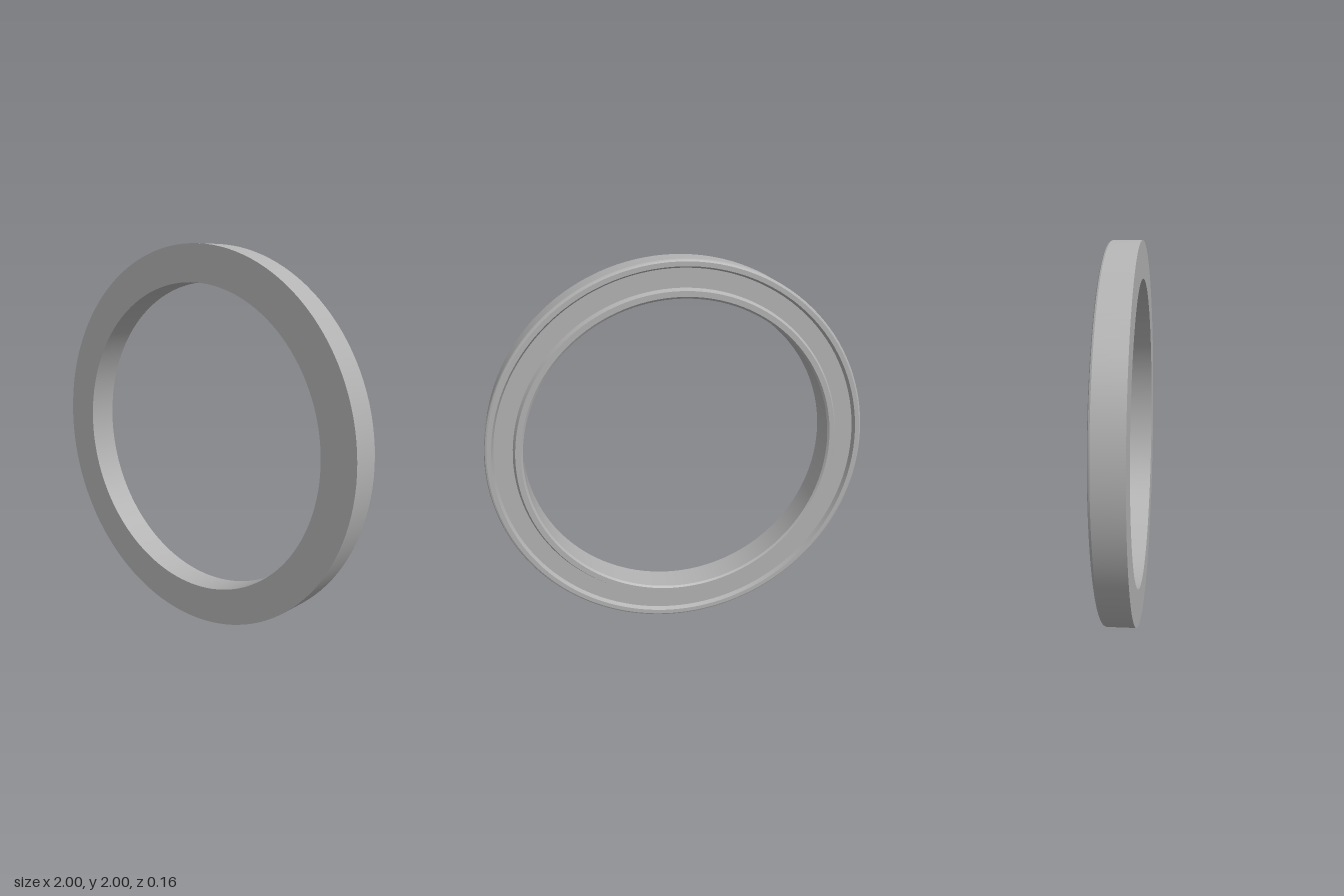
import * as THREE from 'three';
import { mergeGeometries } from 'three/addons/utils/BufferGeometryUtils.js';

// Revolves a closed profile of [radius, z], one band per edge so edges stay sharp
function revolve(profile, segments = 128) {
  const bands = profile.map((p, i) => {
    const q = profile[(i + 1) % profile.length];
    return new THREE.LatheGeometry([new THREE.Vector2(...p), new THREE.Vector2(...q)], segments);
  });
  return mergeGeometries(bands).rotateX(Math.PI / 2);
}

export function createModel() {
  const model = new THREE.Group();
  model.name = 'ring';
  const grey = new THREE.MeshStandardMaterial({ color: 0xb2b2b2 });
  grey.name = 'grey';

  // Flat front, plain bore, chamfered back rims with a shallow channel between them
  const profile = [
    [1, -0.068], [1, 0.08],                                // outer wall
    [0.81, 0.08], [0.81, -0.072],                          // front face and bore
    [0.82, -0.08], [0.848, -0.08],                         // inner rim
    [0.86, -0.057], [0.955, -0.057],                       // channel floor
    [0.965, -0.08], [0.988, -0.08],                        // outer rim
    [0.996, -0.076],                                       // rounded back edge
  ];
  const body = new THREE.Mesh(revolve(profile), grey);
  body.name = 'ringBody';
  body.position.y = 1;
  model.add(body);
  return model;
}
